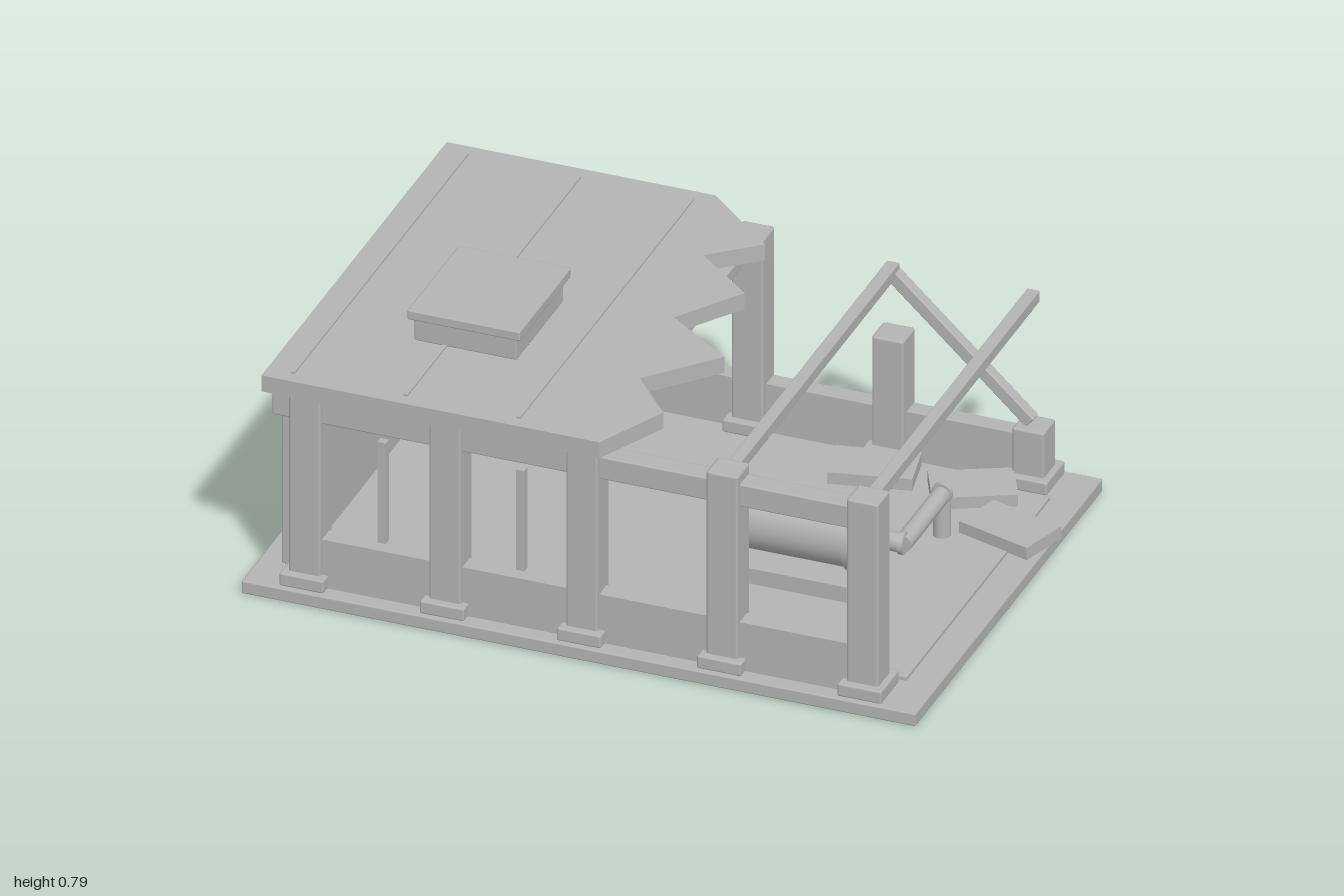
import * as THREE from 'three';
import { RoundedBoxGeometry } from 'three/addons/geometries/RoundedBoxGeometry.js';

export function createModel() {
  const model = new THREE.Group();
  model.name = 'ruinedPumpHouse';
  const stone = new THREE.MeshStandardMaterial({ color: 0xb4b4b4 });
  stone.name = 'grey stone';

  const add = (name, geometry, x = 0, y = 0, z = 0) => {
    const mesh = new THREE.Mesh(geometry, stone);
    mesh.name = name;
    mesh.position.set(x, y, z);
    model.add(mesh);
    return mesh;
  };
  // Slightly bevelled box given by its extents on each axis
  const box = (name, [x0, x1], [y0, y1], [z0, z1], bevel = 0.005) => {
    const w = x1 - x0, h = y1 - y0, d = z1 - z0;
    const geometry = bevel
      ? new RoundedBoxGeometry(w, h, d, 1, bevel)
      : new THREE.BoxGeometry(w, h, d);
    return add(name, geometry, (x0 + x1) / 2, (y0 + y1) / 2, (z0 + z1) / 2);
  };
  const around = (c, size) => [c - size / 2, c + size / 2];

  // Base and floor
  box('base', [-1, 0.97], [0, 0.04], [-0.69, 0.69]);
  box('floor', [-0.88, 0.88], [0.035, 0.049], [-0.53, 0.53], 0);

  // Columns: the rear row is broken off towards the right end
  const columnX = [-0.83, -0.42, -0.02, 0.39, 0.8];
  const rearTops = [0.645, 0.645, 0.65, 0.42, 0.22];
  columnX.forEach((x, i) => {
    for (const side of [1, -1]) {
      const top = side > 0 ? 0.65 : rearTops[i];
      const z = side * 0.61;
      box('column', around(x, 0.094), [0.04, top], around(z, 0.09), 0.008);
      box('columnFoot', around(x, 0.13), [0.04, 0.08], around(z, 0.135), 0.006);
    }
    // Rafters across the roof
    box('rafter', around(x, 0.037), [0.605, 0.64], [-0.61, 0.58], 0.003);
  });

  // Long walls, top beams and end wall
  for (const side of [1, -1]) {
    box('lowWall', [-0.88, 0.8], [0.04, 0.19], around(side * 0.615, 0.055), 0);
    box('topBeam', [-0.93, side > 0 ? 0.845 : 0.02], [0.55, 0.62], around(side * 0.608, 0.065));
  }
  box('endWall', [-0.93, -0.875], [0.045, 0.61], [-0.57, 0.57]);
  for (const x of [-0.625, -0.22]) {
    box('windowPost', around(x, 0.024), [0.19, 0.505], around(0.59, 0.024), 0);
  }

  // Roof slab with a jagged broken edge
  const outline = [
    [-0.945, -0.685], [-0.16, -0.685], [0.064, -0.487], [-0.07, -0.37], [0.11, -0.22],
    [-0.02, -0.027], [0.187, 0.123], [0.016, 0.315], [0.144, 0.465], [0.043, 0.68], [-0.945, 0.68],
  ];
  const roofShape = new THREE.Shape(outline.map(([x, z]) => new THREE.Vector2(x, -z)));
  const roof = new THREE.ExtrudeGeometry(roofShape, { depth: 0.05, bevelEnabled: false });
  roof.rotateX(-Math.PI / 2);
  add('roof', roof, 0, 0.64, 0);
  for (const x of [-0.87, -0.54, -0.21]) {
    box('roofSeam', around(x, 0.012), [0.685, 0.695], [-0.64, 0.64], 0);
  }

  // Roof vent
  box('ventBody', [-0.63, -0.33], [0.69, 0.765], [0.005, 0.35]);
  box('ventLid', [-0.645, -0.315], [0.76, 0.79], [-0.015, 0.365]);

  // Fallen rafter leaning on the broken corner column
  const start = new THREE.Vector2(0.39, 0.615), end = new THREE.Vector2(0.8, 0.235);
  const brace = add('fallenRafter',
    new RoundedBoxGeometry(start.distanceTo(end), 0.036, 0.036, 1, 0.003),
    (start.x + end.x) / 2, (start.y + end.y) / 2, -0.597);
  brace.rotation.z = Math.atan2(end.y - start.y, end.x - start.x);

  // Boiler on its plinth
  box('plinth', [0.205, 0.58], [0.04, 0.1], [-0.1, 0.21]);
  const rod = (name, radius, length, axis, x, y, z) => {
    const geometry = new THREE.CylinderGeometry(radius, radius, length, 24);
    if (axis === 'x') geometry.rotateZ(Math.PI / 2);
    if (axis === 'z') geometry.rotateX(Math.PI / 2);
    return add(name, geometry, x, y, z);
  };
  rod('boiler', 0.095, 0.345, 'x', 0.393, 0.178, 0.06);
  for (const x of [0.233, 0.553]) rod('boilerBand', 0.103, 0.02, 'x', x, 0.178, 0.06);

  // Pipe run from the boiler to the floor
  rod('outletPipe', 0.027, 0.13, 'x', 0.625, 0.175, 0.055);
  rod('outletFlange', 0.032, 0.014, 'x', 0.682, 0.175, 0.055);
  rod('crossPipe', 0.026, 0.3, 'z', 0.682, 0.175, -0.09);
  rod('crossFlange', 0.03, 0.014, 'z', 0.682, 0.18, -0.232);
  rod('downPipe', 0.025, 0.13, 'y', 0.682, 0.112, -0.232);

  // Fallen roof slabs
  const slabs = [[0.39, -0.47, 12], [0.68, -0.465, 26], [0.856, -0.295, -17]];
  for (const [x, z, angle] of slabs) {
    const slab = add('fallenSlab', new THREE.BoxGeometry(0.235, 0.038, 0.15), x, 0.066, z);
    slab.rotation.y = THREE.MathUtils.degToRad(angle);
  }
  return model;
}
